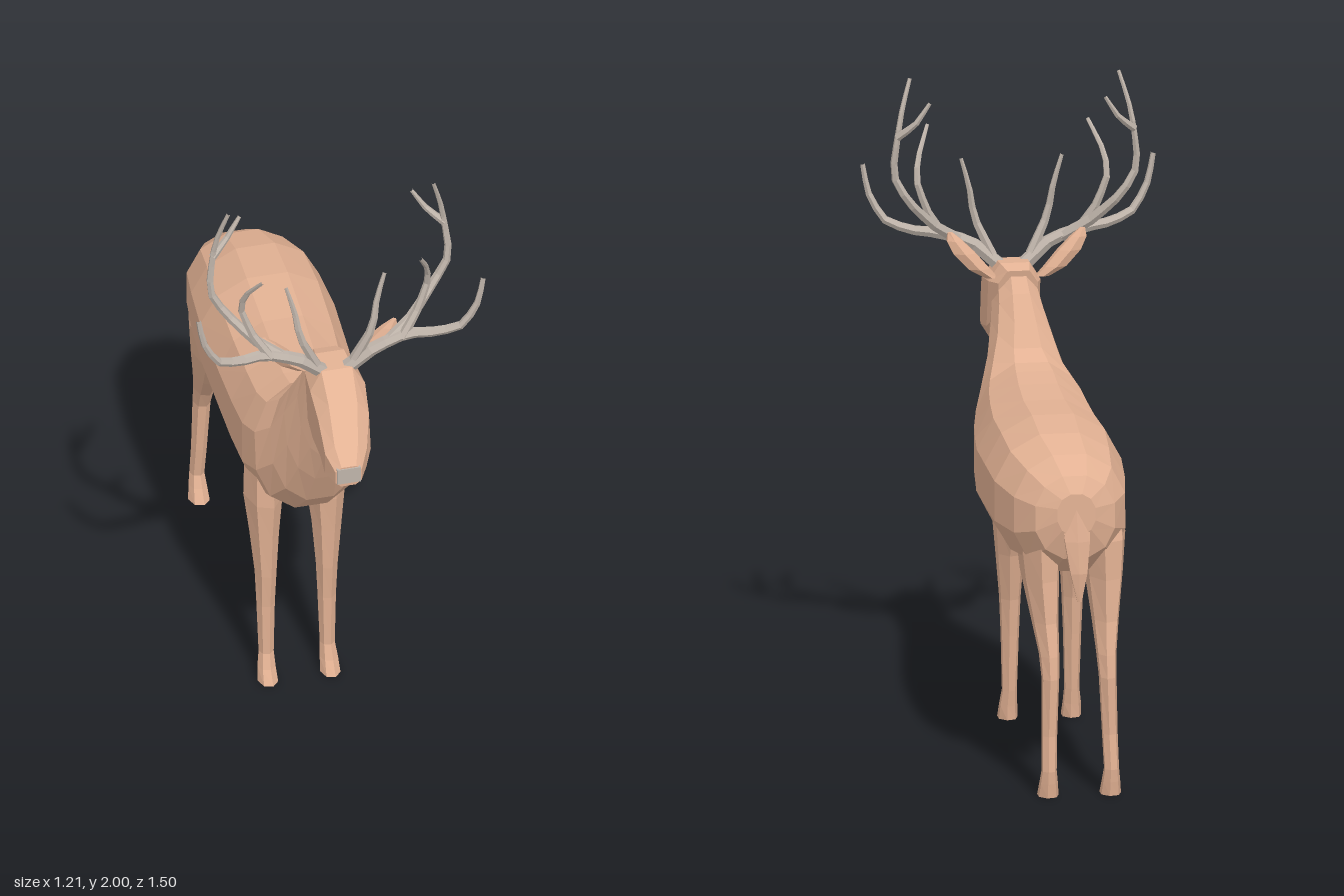
import * as THREE from 'three';

const hide = new THREE.MeshStandardMaterial({ color: 0xe2b193 });
hide.name = 'tan hide';
const horn = new THREE.MeshStandardMaterial({ color: 0xbfb4aa });
horn.name = 'grey horn';

// Skin a list of rings (counter-clockwise about the direction of travel), with capped ends and flat facets
function loft(rings) {
  const n = rings[0].length, pos = [], idx = [];
  const mean = r => r.reduce((a, p) => a.add(p), new THREE.Vector3()).divideScalar(n);
  rings.flat().concat(mean(rings[0]), mean(rings.at(-1))).forEach(p => pos.push(p.x, p.y, p.z));
  const last = (rings.length - 1) * n, c0 = rings.length * n;
  for (let j = 0; j < n; j++) {
    const k = (j + 1) % n;
    for (let i = 0; i < last; i += n) {
      idx.push(i + j, i + k, i + n + j, i + k, i + n + k, i + n + j);
    }
    idx.push(c0, k, j, c0 + 1, last + j, last + k);
  }
  const g = new THREE.BufferGeometry();
  g.setAttribute('position', new THREE.Float32BufferAttribute(pos, 3));
  g.setIndex(idx);
  const flat = g.toNonIndexed();
  flat.computeVertexNormals();
  return flat;
}

// Upright ring from its top and bottom points: [topZ, topY, bottomZ, bottomY, halfWidth, centreX];
// a power below 1 makes it squarer
function hoop([tz, ty, bz, by, w, cx = 0], n, power) {
  const fit = Math.cos(Math.PI / n) ** power;
  const shape = v => Math.sign(v) * Math.abs(v) ** power / fit;
  return Array.from({ length: n }, (_, j) => {
    const a = ((j + 0.5) / n) * Math.PI * 2, s = shape(Math.sin(a));
    return new THREE.Vector3(cx + w * shape(Math.cos(a)),
      (ty + by) / 2 + s * (ty - by) / 2, (tz + bz) / 2 + s * (tz - bz) / 2);
  });
}

// Level ring: [x, y, z, halfX, halfZ]; a negative halfZ is for shapes that run upward
function slice([x, y, z, hx, hz], side, n) {
  return Array.from({ length: n }, (_, j) => {
    const a = ((j + 0.5) / n) * Math.PI * 2;
    return new THREE.Vector3(side * x + hx * Math.cos(a), y, z + hz * Math.sin(a));
  });
}

// Tapered antler branch along a few points
function branch(points, side, r0, r1) {
  const path = new THREE.CatmullRomCurve3(
    points.map(p => new THREE.Vector3(p[0] * side, p[1], p[2])), false, 'catmullrom', 0.25);
  const segs = (points.length - 1) * 2, sides = 6;
  const g = new THREE.TubeGeometry(path, segs, 1, sides);
  const p = g.attributes.position, v = new THREE.Vector3();
  for (let i = 0; i < p.count; i++) {
    const t = Math.floor(i / (sides + 1)) / segs, c = path.getPointAt(t);
    v.fromBufferAttribute(p, i).sub(c).multiplyScalar(r0 + (r1 - r0) * t).add(c);
    p.setXYZ(i, v.x, v.y, v.z);
  }
  const flat = g.toNonIndexed();
  flat.computeVertexNormals();
  return flat;
}

const BODY = [
  [-0.82, 0.97, -0.825, 0.84, 0.06, 0.015], [-0.785, 1.02, -0.8, 0.76, 0.125, 0.015],
  [-0.71, 1.07, -0.72, 0.7, 0.175, 0.02], [-0.58, 1.105, -0.58, 0.69, 0.205, 0.03],
  [-0.4, 1.12, -0.4, 0.69, 0.215, 0.022], [-0.18, 1.11, -0.15, 0.67, 0.21, 0.015],
  [0, 1.115, -0.03, 0.65, 0.2, 0.005], [0.12, 1.125, 0.12, 0.645, 0.19, -0.003],
  [0.19, 1.135, 0.25, 0.7, 0.172, -0.005], [0.235, 1.17, 0.34, 0.79, 0.142], [0.28, 1.24, 0.41, 0.92, 0.112],
  [0.33, 1.32, 0.47, 1.04, 0.088, 0.005], [0.38, 1.38, 0.5, 1.11, 0.075, 0.008],
];
const HEAD = [
  [0.365, 1.385, 0.4, 1.2, 0.062, 0.008], [0.41, 1.4, 0.47, 1.13, 0.082, 0.012],
  [0.5, 1.395, 0.55, 1.115, 0.088, 0.012], [0.6, 1.335, 0.64, 1.125, 0.081, 0.006],
  [0.71, 1.26, 0.7, 1.128, 0.067, -0.012], [0.773, 1.218, 0.77, 1.145, 0.042, -0.02],
];
const FORELEG = [
  [0.1, 0.86, 0.11, 0.055, 0.1], [0.1, 0.68, 0.11, 0.06, 0.105], [0.1, 0.55, 0.13, 0.046, 0.073],
  [0.098, 0.4, 0.143, 0.034, 0.05], [0.098, 0.28, 0.145, 0.029, 0.037], [0.098, 0.1, 0.153, 0.024, 0.027],
  [0.1, 0.05, 0.165, 0.029, 0.033], [0.1, 0.005, 0.18, 0.032, 0.045],
];
const HINDLEG = [
  [0.095, 0.95, -0.61, 0.065, 0.13], [0.1, 0.8, -0.635, 0.072, 0.152], [0.1, 0.68, -0.66, 0.06, 0.132],
  [0.095, 0.55, -0.72, 0.043, 0.085], [0.09, 0.45, -0.775, 0.032, 0.056], [0.09, 0.38, -0.8, 0.028, 0.042],
  [0.095, 0.2, -0.81, 0.025, 0.031], [0.098, 0.09, -0.825, 0.024, 0.028], [0.098, 0.05, -0.815, 0.029, 0.035],
  [0.098, 0.005, -0.8, 0.034, 0.045],
];
const EAR = [
  [0.08, 1.355, 0.415, 0.024, -0.018], [0.12, 1.385, 0.415, 0.038, -0.025], [0.165, 1.435, 0.42, 0.04, -0.026],
  [0.195, 1.475, 0.425, 0.028, -0.018], [0.208, 1.5, 0.428, 0.009, -0.008],
];
const TAIL = [
  [0.015, 0.93, -0.79, 0.055, 0.03], [0.013, 0.82, -0.818, 0.045, 0.022],
  [0.01, 0.72, -0.832, 0.03, 0.017], [0.008, 0.63, -0.835, 0.008, 0.006],
];
// Antler branches: [points, start radius, end radius]
const ANTLER = {
  Beam: [[[0.04, 1.38, 0.475], [0.124, 1.45, 0.49], [0.227, 1.485, 0.49], [0.317, 1.493, 0.515],
    [0.394, 1.525, 0.54], [0.44, 1.61, 0.55], [0.457, 1.7, 0.55]], 0.024, 0.008],
  TallTine: [[[0.16, 1.46, 0.49], [0.25, 1.52, 0.455], [0.335, 1.61, 0.41], [0.383, 1.7, 0.406],
    [0.37, 1.83, 0.395], [0.355, 1.91, 0.405], [0.328, 2.0, 0.427]], 0.019, 0.006],
  TopFork: [[[0.372, 1.82, 0.396], [0.32, 1.865, 0.37], [0.275, 1.935, 0.36]], 0.013, 0.006],
  InnerTine: [[[0.21, 1.475, 0.495], [0.265, 1.56, 0.475], [0.3, 1.66, 0.468], [0.29, 1.73, 0.495],
    [0.252, 1.815, 0.56]], 0.016, 0.006],
  BrowTine: [[[0.06, 1.41, 0.48], [0.115, 1.53, 0.495], [0.132, 1.63, 0.485], [0.159, 1.725, 0.48]], 0.017, 0.006],
};

export function createModel() {
  const root = new THREE.Group();
  root.name = 'stag';
  const stag = new THREE.Group();
  stag.name = 'turnedStag';
  root.add(stag);
  const add = (name, geometry, material) => {
    const m = new THREE.Mesh(geometry, material);
    m.name = name;
    stag.add(m);
    return m;
  };

  // Trunk with neck, head, tail
  add('bodyAndNeck', loft(BODY.map(r => hoop(r, 12, 0.9))), hide);
  add('head', loft(HEAD.map(r => hoop(r, 8, 0.65))), hide);
  add('tail', loft(TAIL.map(r => slice(r, 1, 6))), hide);

  // Nose pad
  add('nose', new THREE.BoxGeometry(0.076, 0.054, 0.04), horn).position.set(-0.02, 1.186, 0.757);

  // Paired parts
  for (const [label, side] of [['left', 1], ['right', -1]]) {
    add(label + 'FrontLeg', loft(FORELEG.map(r => slice(r, side, 7))), hide).position.x = -0.027;
    add(label + 'HindLeg', loft(HINDLEG.map(r => slice(r, side, 7))), hide).position.x = 0.004;
    add(label + 'Ear', loft(EAR.map(r => slice(r, side, 6))), hide).position.x = 0.005;
    for (const [part, [points, r0, r1]] of Object.entries(ANTLER)) {
      add(label + 'Antler' + part, branch(points, side, r0, r1), horn).position.x = 0.012;
    }
  }

  // The animal stands turned toward its left
  stag.rotation.y = Math.PI / 6;
  stag.position.set(-0.082, 0, 0.0475);
  return root;
}
